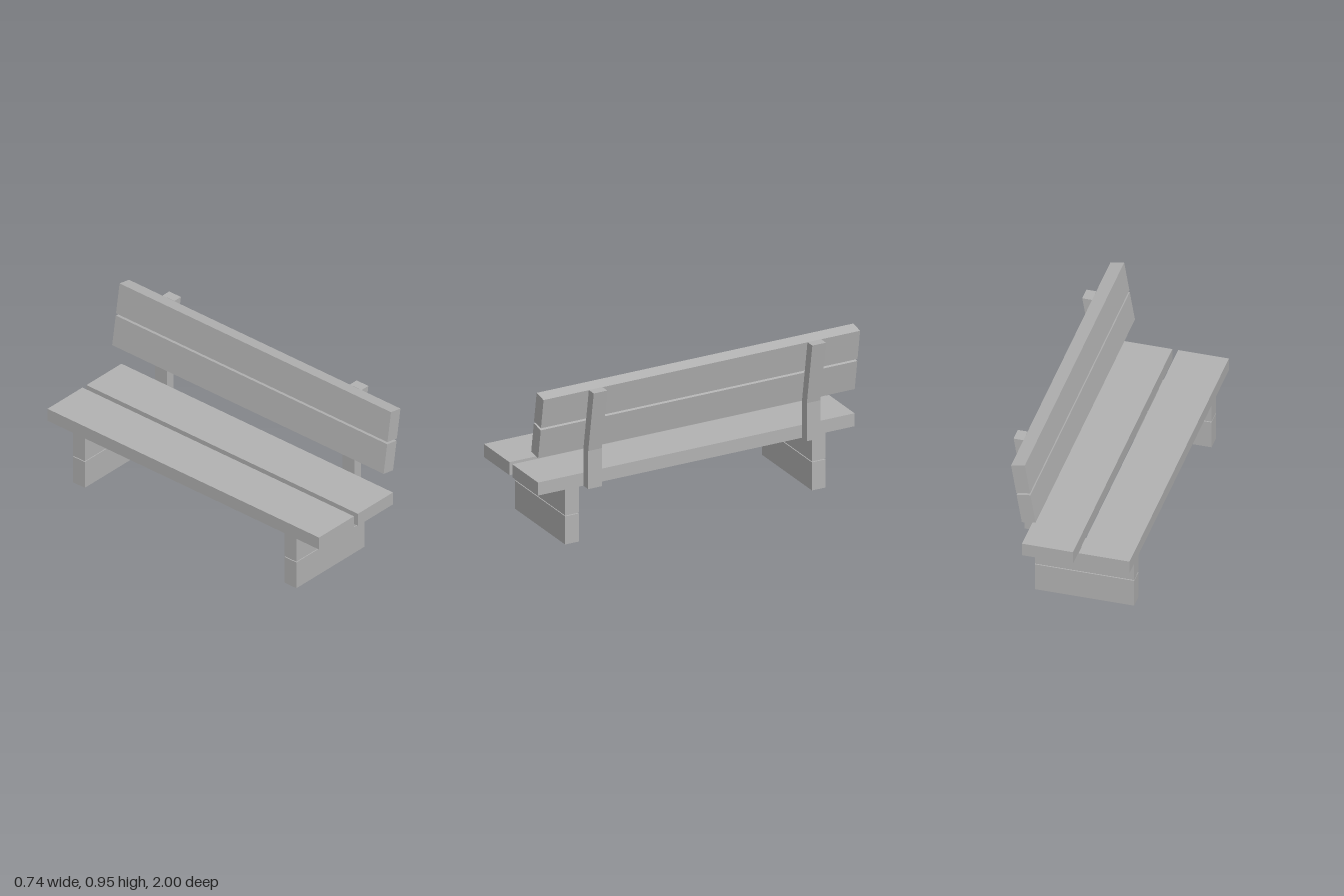
import * as THREE from 'three';

export function createModel() {
  const group = new THREE.Group();
  group.name = 'parkBench';
  const grey = new THREE.MeshStandardMaterial({ color: 0xb3b3b3 });
  grey.name = 'plain grey';

  // Timber with a side profile in x and y, running from z0 to z1
  function timber(name, profile, z0, z1) {
    const shape = new THREE.Shape(profile.map(([x, y]) => new THREE.Vector2(x, y)));
    const geometry = new THREE.ExtrudeGeometry(shape, { depth: z1 - z0, bevelEnabled: false });
    geometry.translate(0, 0, z0);
    const mesh = new THREE.Mesh(geometry, grey);
    mesh.name = name;
    group.add(mesh);
  }
  const rect = (x0, x1, y0, y1) => [[x0, y0], [x1, y0], [x1, y1], [x0, y1]];

  // Seat planks
  timber('frontSeatPlank', rect(-0.37, -0.078, 0.343, 0.421), -1, 1);
  timber('rearSeatPlank', rect(-0.045, 0.248, 0.343, 0.421), -1, 1);

  // Leaning backrest planks
  timber('lowerBackPlank', [[0.17, 0.58], [0.249, 0.567], [0.279, 0.747], [0.2, 0.76]], -1, 1);
  timber('upperBackPlank', [[0.202, 0.773], [0.281, 0.76], [0.311, 0.941], [0.232, 0.955]], -1, 1);

  // Legs, each made of two stacked blocks
  for (const [side, z] of [['right', -0.831], ['left', 0.728]]) {
    timber(side + 'LowerLegBlock', rect(-0.348, 0.222, 0, 0.169), z, z + 0.086);
    timber(side + 'UpperLegBlock', rect(-0.348, 0.222, 0.174, 0.341), z, z + 0.086);
  }

  // Bent posts holding the backrest
  const post = [
    [0.249, 0.343], [0.304, 0.343], [0.304, 0.572],
    [0.367, 0.942], [0.311, 0.942], [0.249, 0.567],
  ];
  for (const [side, z] of [['right', -0.753], ['left', 0.628]]) {
    timber(side + 'BackPost', post, z, z + 0.086);
  }

  return group;
}
